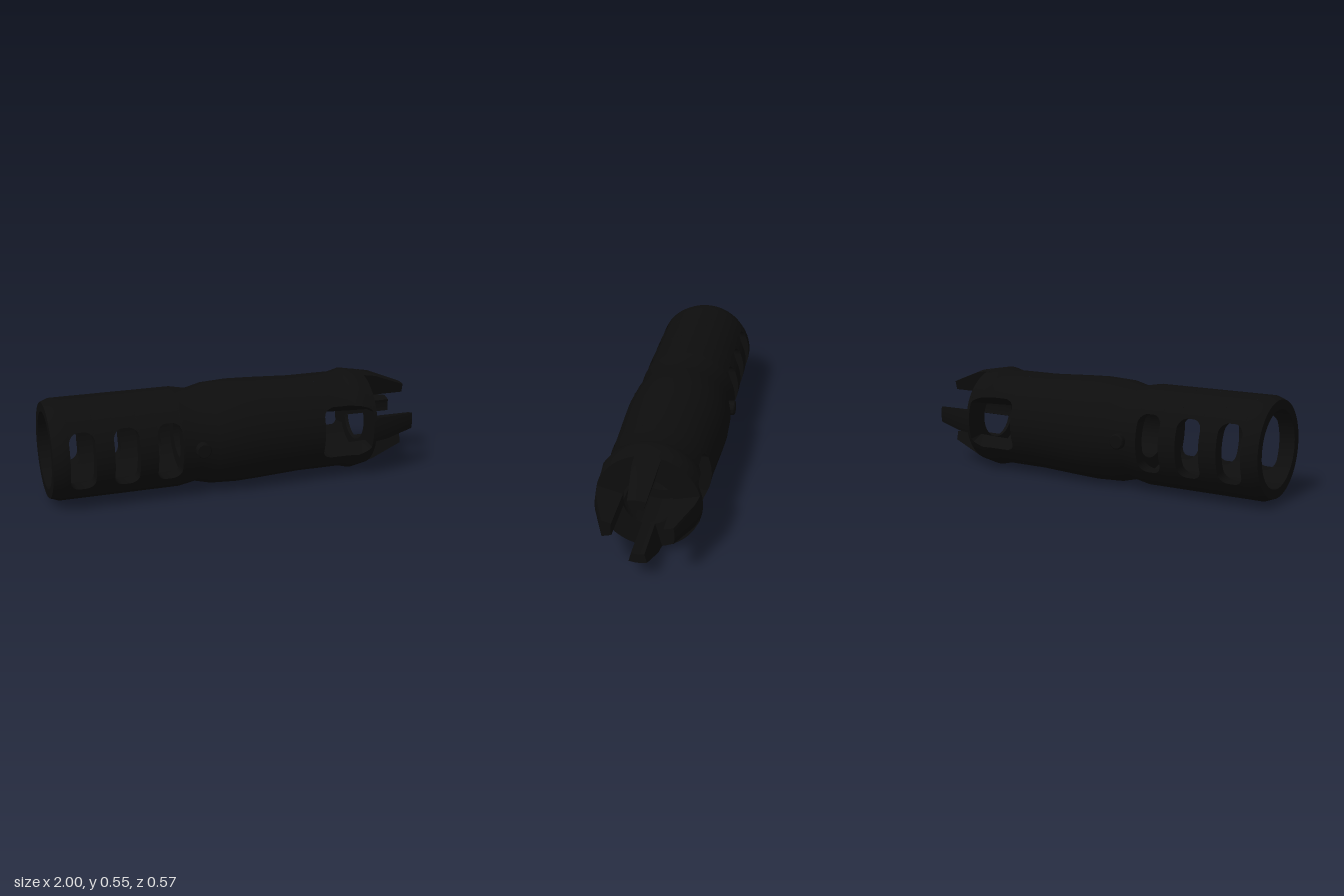
import * as THREE from 'three';
import { toCreasedNormals } from 'three/addons/utils/BufferGeometryUtils.js';

const AXIS_Y = 0.278;      // height of the tube's axis
const CHAMBER = 0.2;       // wide bore at the slotted end
const BORE = 0.128;        // narrow bore through the middle
const CREASE = 0.45;

// Outer silhouette: [x, radius]
const OUTER = [
  [-1, 0.248], [-0.955, 0.265], [-0.32, 0.265], [-0.23, 0.248], [-0.14, 0.27], [0, 0.277],
  [0.12, 0.273], [0.35, 0.262], [0.6, 0.262], [0.66, 0.277], [0.82, 0.249], [1, 0.177],
];

function outerRadius(x) {
  for (let i = 1; i < OUTER.length; i++) {
    const [x0, r0] = OUTER[i - 1], [x1, r1] = OUTER[i];
    if (x <= x1) return r0 + (r1 - r0) * (x - x0) / (x1 - x0);
  }
  return OUTER[OUTER.length - 1][1];
}

// Closed ring between x0 and x1; inner is the bore profile from x0 to x1
function ringGeometry(x0, x1, inner) {
  const outer = [[x0, outerRadius(x0)], ...OUTER.filter(([x]) => x > x0 && x < x1), [x1, outerRadius(x1)]];
  const loop = [...outer, ...inner.slice().reverse(), outer[0]];
  const geo = new THREE.LatheGeometry(loop.map(([x, r]) => new THREE.Vector2(r, x)), 72);
  geo.rotateZ(-Math.PI / 2);
  return toCreasedNormals(geo, CREASE);
}

// Sector of the tube wall lofted along x, centred on +y.
// stations: { x, ri, ro, ai, ao } with inner/outer radii and half angles
function sectorGeometry(stations, n) {
  const pos = [], index = [], count = 2 * n + 2;
  for (const { x, ri, ro, ai, ao } of stations) {
    for (let j = 0; j <= n; j++) {
      const t = ao * (2 * j / n - 1);
      pos.push(x, ro * Math.cos(t), ro * Math.sin(t));
    }
    for (let j = n; j >= 0; j--) {
      const t = ai * (2 * j / n - 1);
      pos.push(x, ri * Math.cos(t), ri * Math.sin(t));
    }
  }
  for (let i = 0; i < stations.length - 1; i++) {
    for (let j = 0; j < count; j++) {
      const k = (j + 1) % count;
      const a = i * count + j, b = i * count + k, c = b + count, d = a + count;
      index.push(a, b, c, a, c, d);
    }
  }
  // End cap on the +x side
  const base = (stations.length - 1) * count;
  for (let j = 0; j < n; j++) {
    const a = base + j, b = a + 1, d = base + count - 1 - j, c = d - 1;
    index.push(a, b, c, a, c, d);
  }
  const geo = new THREE.BufferGeometry();
  geo.setAttribute('position', new THREE.Float32BufferAttribute(pos, 3));
  geo.setIndex(index);
  return toCreasedNormals(geo, CREASE);
}

// Wall left above a side opening whose half height is ho outside and hi inside
function landStation(x, ri, hi, ho) {
  const ro = outerRadius(x);
  return { x, ri, ro, ai: Math.acos(hi / ri), ao: Math.acos(ho / ro) };
}

export function createModel() {
  const model = new THREE.Group();
  model.name = 'slottedTube';
  const tube = new THREE.Group();
  tube.name = 'tube';
  tube.position.y = AXIS_Y;
  model.add(tube);

  const black = new THREE.MeshStandardMaterial({ color: 0x0d0d0d });
  black.name = 'matte black';

  const add = (name, geo, turn = 0) => {
    const mesh = new THREE.Mesh(geo, black);
    mesh.name = name;
    mesh.rotation.x = turn;
    tube.add(mesh);
  };

  // Three round-cornered slots through the rear section, with rings between
  const half = 0.065, corner = 0.05, slotHeight = 0.15;
  let start = -1;
  for (const centre of [-0.851, -0.625, -0.4]) {
    const x0 = centre - half, x1 = centre + half;
    add('slotRing', ringGeometry(start, x0, [[start, CHAMBER], [x0, CHAMBER]]));
    const stations = [];
    const steps = 8;
    for (let side = -1; side <= 1; side += 2) {
      for (let i = 0; i <= steps; i++) {
        const a = (Math.PI / 2) * (side < 0 ? 1 - i / steps : i / steps);
        const x = centre + side * (half - corner + corner * Math.sin(a));
        const h = slotHeight - corner + corner * Math.cos(a);
        stations.push(landStation(x, CHAMBER, h, h));
      }
    }
    const land = sectorGeometry(stations, 24);
    add('slotTopWall', land);
    add('slotBottomWall', land, Math.PI);
    start = x1;
  }

  // Middle body with the step from chamber to bore
  add('middleBody', ringGeometry(start, 0.45, [
    [start, CHAMBER], [-0.28, CHAMBER], [-0.28, BORE], [0.45, BORE],
  ]));

  // Flared windows on both sides: [x, outer half height]
  const pocket = [[0.45, 0.1], [0.457, 0.118], [0.47, 0.131], [0.5, 0.142], [0.6, 0.142],
    [0.63, 0.14], [0.66, 0.138], [0.7, 0.125], [0.72, 0.115], [0.73, 0.1]];
  const windowWall = sectorGeometry(
    pocket.map(([x, h]) => landStation(x, 0.18, 0.098 - 0.035 * (x - 0.45), h)), 24);
  add('windowTopWall', windowWall);
  add('windowBottomWall', windowWall, Math.PI);

  // Thin ring carrying the prongs
  add('prongRing', ringGeometry(0.73, 0.75, [[0.73, BORE], [0.75, BORE]]));

  // Four tapering prongs
  const angle = 0.255;
  const prong = sectorGeometry([0.75, 0.82, 1].map((x) => (
    { x, ri: BORE, ro: outerRadius(x), ai: angle, ao: angle })), 8);
  for (let i = 0; i < 4; i++) add('prong', prong, i * Math.PI / 2);

  // Round pins in the waist, one on each side
  const pinProfile = [[0.04, 0.2], [0.04, 0.277], [0.034, 0.283], [0, 0.283]];
  const pin = new THREE.LatheGeometry(pinProfile.map(([r, y]) => new THREE.Vector2(r, y)), 32);
  pin.translate(-0.23, 0, 0);
  const pinGeo = toCreasedNormals(pin, CREASE);
  add('frontPin', pinGeo, Math.PI / 2);
  add('backPin', pinGeo, -Math.PI / 2);

  return model;
}
